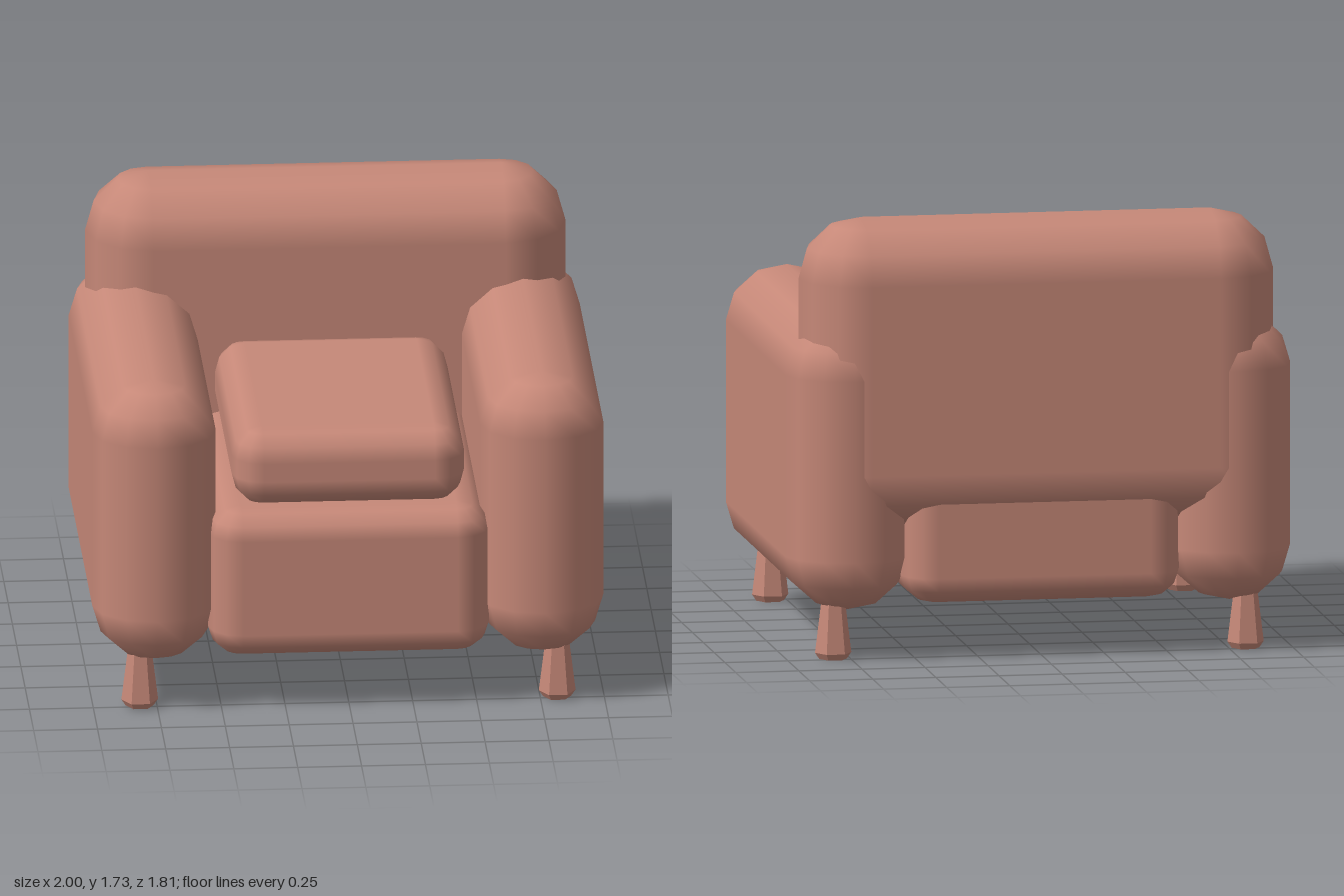
import * as THREE from 'three';

const upholstery = new THREE.MeshStandardMaterial({ color: 0xc68878 });
upholstery.name = 'terracotta upholstery';

// Box between two corners, each edge rounded in three steps with radii [rx, ry, rz]
function softBox(min, max, radii) {
  const mid = min.map((v, i) => (v + max[i]) / 2);
  const core = min.map((v, i) => Math.max(0, (max[i] - v) / 2 - radii[i]));
  const steps = 3, step = Math.PI / 2 / steps;
  const rings = [], columns = [];
  for (let half = 0; half < 2; half++)
    for (let i = 0; i <= steps; i++) rings.push({ angle: half * Math.PI / 2 + i * step, sign: half ? -1 : 1 });
  for (let q = 0; q < 4; q++)
    for (let i = 0; i <= steps; i++)
      columns.push({ angle: q * Math.PI / 2 + i * step, sx: q === 0 || q === 3 ? 1 : -1, sz: q < 2 ? 1 : -1 });

  const positions = [], normals = [], index = [];
  for (const ring of rings) {
    for (const col of columns) {
      const dir = [
        Math.sin(ring.angle) * Math.cos(col.angle),
        Math.cos(ring.angle),
        Math.sin(ring.angle) * Math.sin(col.angle),
      ];
      const side = [col.sx, ring.sign, col.sz];
      positions.push(...dir.map((d, i) => mid[i] + side[i] * core[i] + d * radii[i]));
      const n = new THREE.Vector3(...dir.map((d, i) => d / radii[i])).normalize();
      normals.push(n.x, n.y, n.z);
    }
  }
  const n = columns.length, last = (rings.length - 1) * n;
  for (let r = 0; r < rings.length - 1; r++) {
    for (let c = 0; c < n; c++) {
      const a = r * n + c, b = r * n + (c + 1) % n;
      index.push(a, b, a + n, b, b + n, a + n);
    }
  }
  // Flat top and bottom between the four corner poles
  const q = steps + 1;
  index.push(0, 2 * q, q, 0, 3 * q, 2 * q);
  index.push(last, last + q, last + 2 * q, last, last + 2 * q, last + 3 * q);

  const geometry = new THREE.BufferGeometry();
  geometry.setAttribute('position', new THREE.Float32BufferAttribute(positions, 3));
  geometry.setAttribute('normal', new THREE.Float32BufferAttribute(normals, 3));
  geometry.setIndex(index);
  return geometry;
}

// Faceted six-sided leg, wider at the foot, with a small bevel
function legGeometry() {
  const profile = [[0, 0], [0.055, 0], [0.072, 0.025], [0.048, 0.22], [0, 0.22]]
    .map(([r, y]) => new THREE.Vector2(r, y));
  const geometry = new THREE.LatheGeometry(profile, 6, Math.PI / 6).toNonIndexed();
  geometry.computeVertexNormals();
  return geometry;
}

export function createModel() {
  const group = new THREE.Group();
  group.name = 'armchair';
  const add = (name, geometry) => {
    const mesh = new THREE.Mesh(geometry, upholstery);
    mesh.name = name;
    group.add(mesh);
    return mesh;
  };

  // Seat, cushion and backrest
  add('seatBase', softBox([-0.55, 0.215, -0.87], [0.55, 0.823, 0.87], [0.13, 0.11, 0.13]));
  add('seatCushion', softBox([-0.455, 0.82, -0.4], [0.455, 1.135, 0.815], [0.12, 0.12, 0.12]));
  add('backrest', softBox([-0.94, 0.5, -0.906], [0.94, 1.73, -0.366], [0.25, 0.24, 0.27]));

  // Arms and legs, mirrored left and right
  const leg = legGeometry();
  for (const [side, s] of [['left', 1], ['right', -1]]) {
    const xs = [0.517 * s, s].sort((a, b) => a - b);
    add(side + 'Arm', softBox([xs[0], 0.188, -0.905], [xs[1], 1.335, 0.905], [0.241, 0.215, 0.215]));
    for (const [end, z] of [['Front', 0.73], ['Back', -0.725]])
      add(side + end + 'Leg', leg).position.set(0.817 * s, 0, z);
  }
  return group;
}
